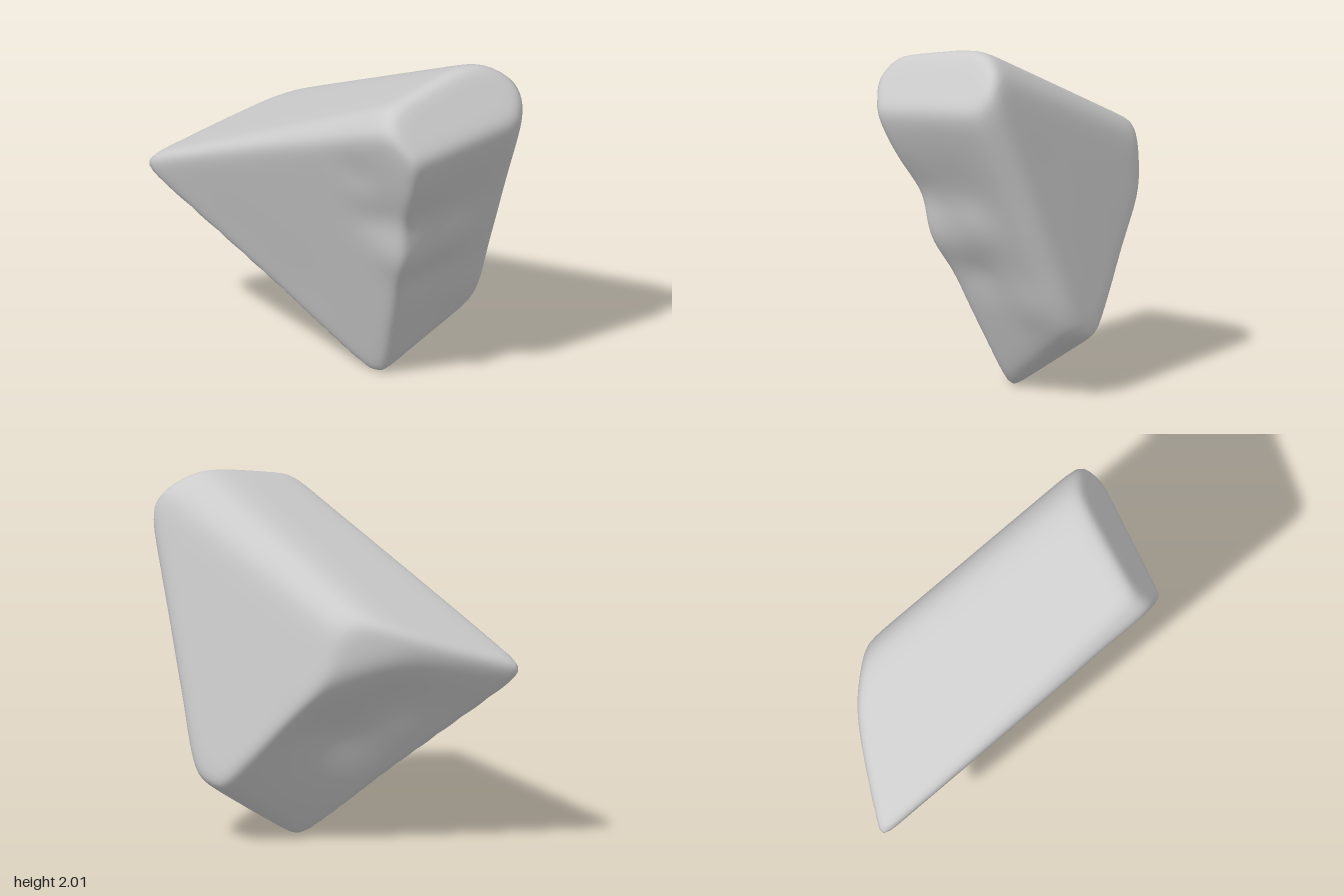
import * as THREE from 'three';
import { mergeVertices } from 'three/addons/utils/BufferGeometryUtils.js';

const V = (a) => new THREE.Vector3(...a);
const centre = V([0.17, 1.1, 0]);

// Each facet of the stone is a plane through three points
const facets = [
  [[0.35, 1.822, 0], [0.1, 1.53, -0.6], [-0.4, 1.6, 0.05]],         // top slope
  [[0.1, 1.53, -0.6], [0.6, 2.055, 0.55], [0.5, 1.79, 0]],          // top, falling off to the left
  [[0.35, 1.61, -0.3], [0.65, 1.95, 0.44], [0.12, 1.82, -0.3]],     // shoulder above the left side
  [[-0.1, 1.88, 0.7], [-0.74, 1.25, -0.62], [-0.54, 1.28, 0.25]],   // bevel on the top's right edge
  [[0.785, 1.6, 0.45], [0.745, 0.42, -0.05], [0.3, 1.15, -0.66]],   // left side (+x)
  [[0.815, 1.65, 0.6], [0.775, 0.4, 0.05], [0.685, 0.91, 0.58]],    // bevel between left side and front
  [[0.05, 1.6, 0.91], [0.78, 1.7, 0.735], [0.15, 0.2, 0.225]],      // front
  [[0.05, 1.634, 0.935], [0.76, 1.724, 0.745], [0.6, 2.024, 0.575]], // front top bevel
  [[0.02, 1.6, 0.9], [-0.855, 1.16, -0.82], [0.15, 0.1, 0.15]],     // right side (-x)
  [[-0.82, 1.08, -0.92], [0.2, -0.02, 0.05], [0.28, 1.2, -0.84]],   // underside at the back
  [[0.3, 0.07, 0.12], [0.75, 0.37, 0.03], [0.32, 0.09, -0.08]],     // bottom bevel
  [[-0.8, 1.1, -0.922], [-0.8, 1.5, -0.922], [0, 1.1, -0.895]],     // blunt back edge
  [[-0.18, 1.1, -0.92], [-0.18, 1.5, -0.92], [0.27, 1.1, -0.73]],   // back corner bevel
].map(([a, b, c]) => {
  const plane = new THREE.Plane().setFromCoplanarPoints(V(a), V(b), V(c));
  const height = -plane.distanceToPoint(centre);
  return plane.normal.divideScalar(height);
});

// Soft swellings (+) and hollows (-): x, y, z, radius, amount
const dents = [
  [0.12, 0.9, 0.56, 0.16, 0.025],
  [0.45, 0.99, 0.48, 0.17, 0.02],
  [0.4, 1.22, 0.58, 0.25, -0.03],
  [0.07, 1.22, 0.66, 0.18, -0.04],
  [0.3, 0.7, 0.38, 0.15, -0.02],
  [0.6, 0.55, 0.2, 0.15, 0.02],
  [-0.15, 1.5, 0.55, 0.16, -0.025],
  [-0.03, 1.15, 0.48, 0.16, -0.02],
  [0.07, 0.63, -0.45, 0.28, -0.06],
  [-0.2, 0.9, -0.65, 0.25, -0.045],
];

// A point on the surface: facets blended into soft edges, then dented
function surfacePoint(dir) {
  const sharpness = 24;
  let sum = 0;
  for (const n of facets) sum += Math.max(0, n.dot(dir)) ** sharpness;
  const r = sum ** (-1 / sharpness);
  const p = dir.clone().multiplyScalar(r).add(centre);
  let push = 0;
  for (const [x, y, z, radius, amount] of dents) {
    const d2 = (p.x - x) ** 2 + (p.y - y) ** 2 + (p.z - z) ** 2;
    push += amount * Math.exp(-d2 / radius ** 2);
  }
  return p.addScaledVector(dir, push);
}

export function createModel() {
  let geometry = new THREE.IcosahedronGeometry(1, 48);
  geometry.deleteAttribute('normal');
  geometry.deleteAttribute('uv');
  geometry = mergeVertices(geometry, 1e-5);

  const pos = geometry.attributes.position;
  for (let i = 0; i < pos.count; i++) {
    const dir = new THREE.Vector3().fromBufferAttribute(pos, i).normalize();
    const p = surfacePoint(dir);
    pos.setXYZ(i, p.x, p.y, p.z);
  }
  geometry.computeVertexNormals();

  // Stand the stone on the ground
  geometry.computeBoundingBox();
  geometry.translate(0, -geometry.boundingBox.min.y, 0);

  const stone = new THREE.Mesh(geometry, new THREE.MeshStandardMaterial({ color: 0xcccccc }));
  stone.name = 'stone';
  const group = new THREE.Group();
  group.name = 'rock';
  group.add(stone);
  return group;
}
